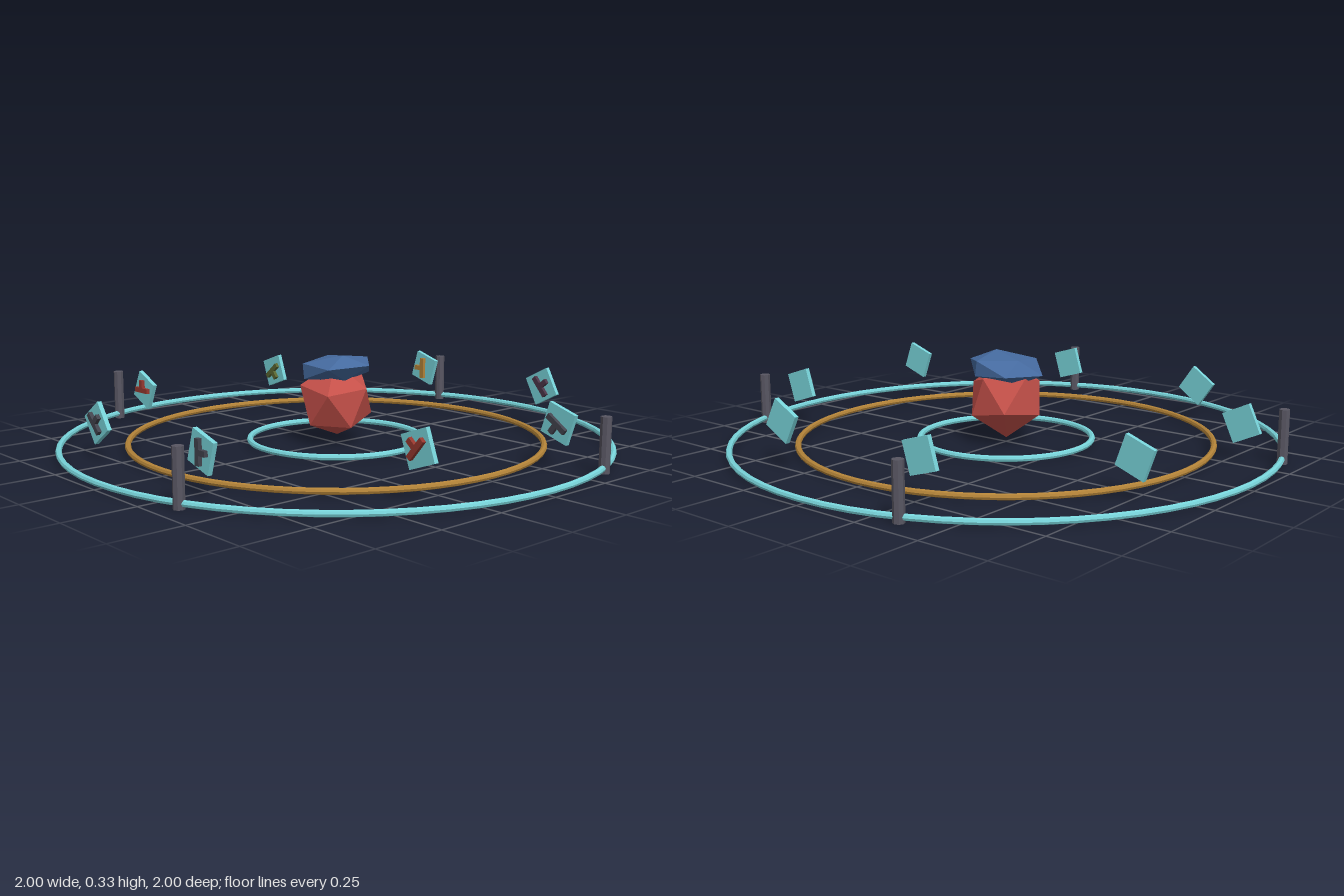
import * as THREE from 'three';

const mat = (name, color) => {
  const m = new THREE.MeshStandardMaterial({ color, flatShading: true });
  m.name = name;
  return m;
};
const rad = THREE.MathUtils.degToRad;

export function createModel() {
  const model = new THREE.Group();
  model.name = 'ritualCircle';
  const teal = mat('teal', 0x78d4da);
  const gold = mat('gold', 0xb38338);
  const dark = mat('darkGrey', 0x585662);
  const slate = mat('slate', 0x43444e);
  const red = mat('red', 0xc6514a);
  const darkRed = mat('darkRed', 0x97382f);
  const blue = mat('blue', 0x456a9f);
  const green = mat('olive', 0x5a6632);
  const plum = mat('plum', 0x4c3648);

  const add = (parent, name, geometry, material, x = 0, y = 0, z = 0) => {
    const mesh = new THREE.Mesh(geometry, material);
    mesh.name = name;
    mesh.position.set(x, y, z);
    parent.add(mesh);
    return mesh;
  };

  // Three floor rings
  const ring = (name, radius, material) =>
    add(model, name, new THREE.TorusGeometry(radius, 0.011, 8, 64).rotateX(Math.PI / 2), material, 0, 0.019, 0);
  ring('innerRing', 0.314, teal);
  ring('middleRing', 0.75, gold);
  ring('outerRing', 0.988, teal);

  // Four posts on the outer ring
  for (let i = 0; i < 4; i++) {
    const a = 1.205 + i * Math.PI / 2;
    add(model, 'post', new THREE.CylinderGeometry(0.019, 0.019, 0.19, 8), dark,
      Math.cos(a) * 0.988, 0.095, Math.sin(a) * 0.988);
  }

  // Tilted faceted stone with a flattened stone on top
  const stone = (r, flatten, tilt) => new THREE.IcosahedronGeometry(r, 0)
    .rotateY(rad(-20)).scale(1, flatten, 1).rotateZ(rad(tilt));
  add(model, 'coreStone', stone(0.143, 1, 21), red, 0, 0.163, 0);
  add(model, 'capStone', stone(0.148, 0.36, 8), blue, 0, 0.277, 0);

  // Floating tiles: x, y, z, tile tilt, mark tilt (degrees), mark colour
  const tiles = [
    [0.30, 0.144, 0.80, -17, 90, slate],
    [0.77, 0.166, 0.355, 20, -130, darkRed],
    [0.786, 0.155, -0.286, -18, -35, slate],
    [0.342, 0.166, -0.757, 28, 130, plum],
    [-0.30, 0.16, -0.773, -17, -90, gold],
    [-0.77, 0.14, -0.33, 20, 40, green],
    [-0.786, 0.128, 0.315, -25, 180, darkRed],
    [-0.342, 0.128, 0.783, 35, 135, slate],
  ];
  const tileGeo = new THREE.BoxGeometry(0.11, 0.11, 0.016);
  const barGeo = new THREE.BoxGeometry(0.085, 0.019, 0.014);
  const stemGeo = new THREE.BoxGeometry(0.019, 0.03, 0.014);
  for (const [x, y, z, tilt, markTilt, colour] of tiles) {
    const g = new THREE.Group();
    g.name = 'floatingTile';
    g.position.set(x, y, z);
    add(g, 'tile', tileGeo, teal).rotation.z = rad(tilt);
    // Raised bar with a short stem
    const mark = new THREE.Group();
    mark.name = 'tileMark';
    mark.rotation.z = rad(markTilt);
    add(mark, 'markBar', barGeo, colour, 0, 0, 0.015);
    add(mark, 'markStem', stemGeo, colour, 0, -0.0245, 0.015);
    g.add(mark);
    model.add(g);
  }
  return model;
}
